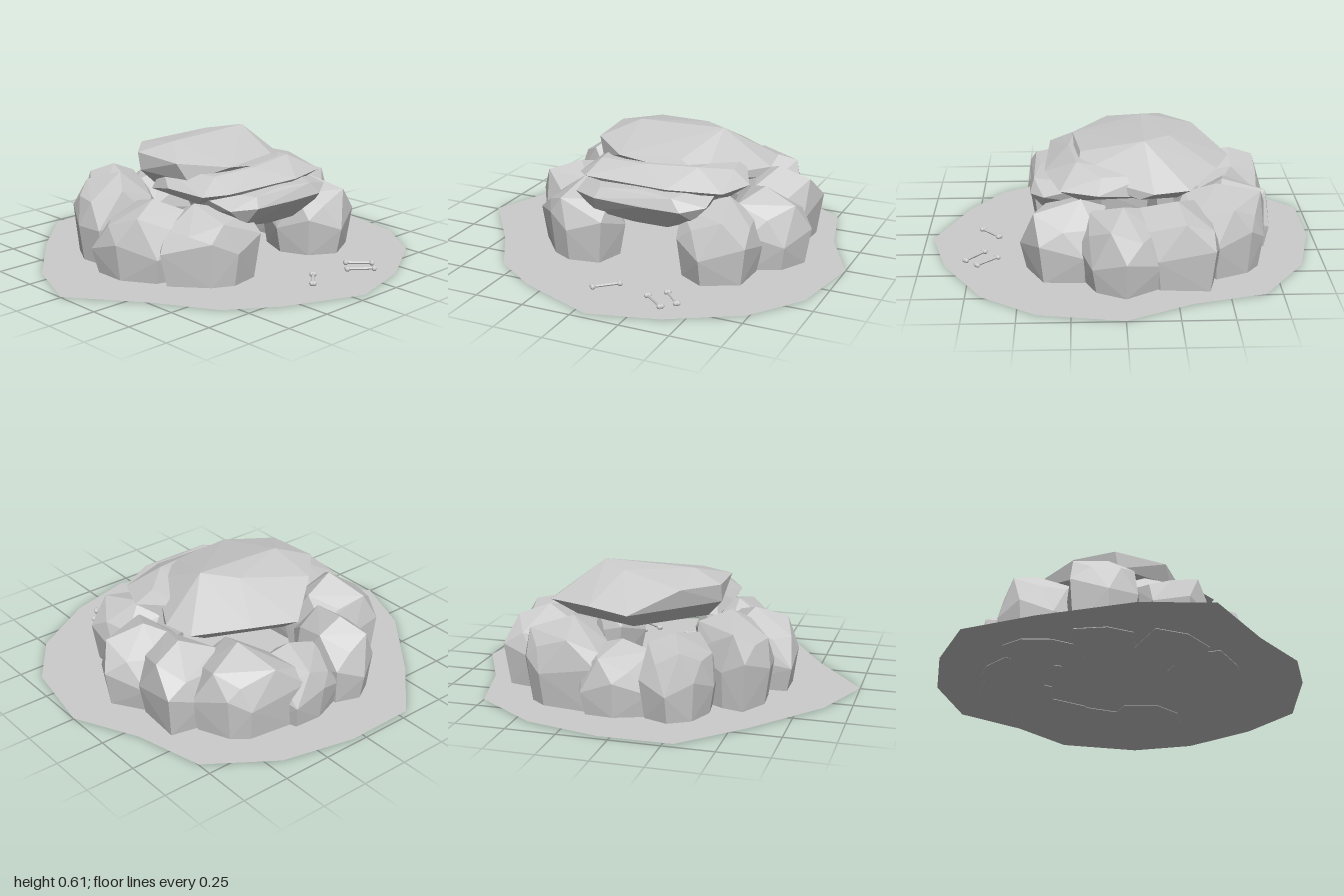
import * as THREE from 'three';
import { ConvexGeometry } from 'three/addons/geometries/ConvexGeometry.js';

const stone = new THREE.MeshStandardMaterial({ name: 'stone', color: 0xcccccc, flatShading: true });
const groundMat = new THREE.MeshStandardMaterial({ name: 'ground', color: 0xcccccc, side: THREE.DoubleSide });

const add = (parent, name, geometry, material = stone) => {
  const mesh = new THREE.Mesh(geometry, material);
  mesh.name = name;
  parent.add(mesh);
  return mesh;
};

const slabGeometry = (points) => new ConvexGeometry(points.map((q) => new THREE.Vector3(...q)));

// Faceted boulder: widest at its outline, tapering to the base and up to a peak
function boulderGeometry(outline, waist, [px, py, pz]) {
  const n = outline.length;
  const cx = outline.reduce((sum, q) => sum + q[0], 0) / n;
  const cz = outline.reduce((sum, q) => sum + q[1], 0) / n;
  const points = [[px, py, pz]];
  outline.forEach(([x, z], i) => {
    const [nx, nz] = outline[(i + 1) % n];
    const mx = (x + nx) / 2, mz = (z + nz) / 2;
    const wobble = i % 2 ? 0.03 : -0.03;
    points.push([cx + (x - cx) * 0.87, 0.002, cz + (z - cz) * 0.87]);
    points.push([x, waist + wobble, z]);
    points.push([cx + (mx - cx) * 0.88, py * 0.78 + wobble, cz + (mz - cz) * 0.88]);
  });
  return slabGeometry(points);
}

// Small bone lying between two points on the ground
function bone(x0, z0, x1, z1) {
  const group = new THREE.Group();
  group.name = 'bone';
  const length = Math.hypot(x1 - x0, z1 - z0);
  add(group, 'boneShaft', new THREE.CylinderGeometry(0.008, 0.008, length, 6).rotateZ(Math.PI / 2));
  for (const end of [-1, 1]) {
    for (const side of [-1, 1]) {
      const knob = add(group, 'boneKnob', new THREE.IcosahedronGeometry(0.013, 1));
      knob.position.set(end * length / 2, 0, side * 0.006);
    }
  }
  group.position.set((x0 + x1) / 2, 0.018, (z0 + z1) / 2);
  group.rotation.y = -Math.atan2(z1 - z0, x1 - x0);
  return group;
}

export function createModel() {
  const model = new THREE.Group();
  model.name = 'rockDen';

  // Flat, irregular patch of ground
  const outline = [[-0.3, -0.97], [0.06, -0.975], [0.43, -0.89], [0.75, -0.67], [0.84, -0.32], [1, 0],
    [0.93, 0.41], [0.74, 0.675], [0.4, 0.875], [0.06, 0.965], [-0.34, 0.8], [-0.57, 0.64], [-0.74, 0.35],
    [-1, 0], [-0.87, -0.33], [-0.57, -0.7]];
  const shape = new THREE.Shape(outline.map(([x, z]) => new THREE.Vector2(x, -z)));
  add(model, 'ground', new THREE.ShapeGeometry(shape).rotateX(-Math.PI / 2).translate(0, 0.005, 0), groundMat);

  // Boulders in a ring, open at the front: plan outline, waist height, peak
  const boulder = (name, plan, waist, peak) => add(model, name, boulderGeometry(plan, waist, peak));
  boulder('frontRightBoulder', [[-0.58, 0.23], [-0.42, 0.42], [-0.3, 0.48], [-0.12, 0.45], [-0.07, 0.28],
    [-0.2, 0.08], [-0.45, 0.08]], 0.2, [-0.33, 0.37, 0.2]);
  boulder('rightBoulder', [[-0.68, -0.17], [-0.68, 0.02], [-0.57, 0.2], [-0.4, 0.25], [-0.25, 0.1],
    [-0.27, -0.18], [-0.5, -0.16]], 0.16, [-0.45, 0.38, 0.03]);
  boulder('rearRightBoulder', [[-0.61, -0.36], [-0.52, -0.52], [-0.4, -0.49], [-0.25, -0.4], [-0.18, -0.2],
    [-0.36, -0.1], [-0.6, -0.21]], 0.22, [-0.4, 0.45, -0.28]);
  boulder('backRightBoulder', [[-0.38, -0.55], [-0.32, -0.7], [-0.2, -0.77], [-0.06, -0.72], [-0.03, -0.45],
    [-0.17, -0.28], [-0.36, -0.38]], 0.17, [-0.2, 0.4, -0.58]);
  boulder('backBoulder', [[-0.1, -0.7], [0.06, -0.76], [0.22, -0.75], [0.28, -0.6], [0.2, -0.37],
    [-0.1, -0.37]], 0.15, [0.08, 0.33, -0.52]);
  boulder('backLeftBoulder', [[0.11, -0.62], [0.15, -0.73], [0.45, -0.69], [0.54, -0.62], [0.62, -0.44],
    [0.42, -0.23], [0.17, -0.33]], 0.2, [0.35, 0.41, -0.46]);
  boulder('rearLeftBoulder', [[0.56, -0.47], [0.74, -0.43], [0.72, -0.16], [0.6, -0.03], [0.36, -0.07],
    [0.32, -0.3], [0.43, -0.42]], 0.19, [0.55, 0.4, -0.26]);
  boulder('leftBoulder', [[0.7, -0.19], [0.815, -0.01], [0.73, 0.15], [0.57, 0.22], [0.37, 0.15],
    [0.37, -0.1], [0.5, -0.18]], 0.16, [0.57, 0.38, 0]);
  boulder('frontLeftBoulder', [[0.63, 0.18], [0.62, 0.4], [0.42, 0.5], [0.27, 0.41], [0.2, 0.25],
    [0.28, 0.06], [0.55, 0.05]], 0.17, [0.46, 0.38, 0.2]);

  // Large domed roof slab
  add(model, 'roofSlab', slabGeometry([
    [0, 0.605, -0.11], [0.3, 0.615, -0.11], [-0.17, 0.6, -0.12], [0.16, 0.595, -0.24], [-0.17, 0.55, -0.38],
    [-0.33, 0.55, -0.22], [-0.32, 0.54, 0.06], [-0.12, 0.52, 0.24], [0.2, 0.53, 0.2],
    [0.05, 0.45, -0.55], [0.27, 0.46, -0.47], [0.52, 0.44, -0.32], [0.54, 0.43, -0.15], [0.5, 0.39, -0.08],
    [0.33, 0.46, 0.22], [-0.33, 0.46, -0.2], [-0.28, 0.45, 0.1], [0.05, 0.37, -0.44], [0.4, 0.36, -0.27],
    [0.3, 0.37, 0.1], [-0.25, 0.37, -0.15], [0, 0.38, 0.1]]));

  // Middle slab jutting out beneath the roof
  add(model, 'middleSlab', slabGeometry([
    [-0.22, 0.49, 0.23], [0.02, 0.5, 0.26], [0.3, 0.51, 0.22], [0.44, 0.48, 0.1], [0.53, 0.42, 0.12],
    [0.46, 0.42, 0.3], [0.2, 0.43, 0.38], [-0.25, 0.43, 0.36], [-0.33, 0.41, 0.26], [-0.34, 0.41, 0.02],
    [-0.3, 0.36, 0.2], [0.1, 0.36, 0.33], [0.45, 0.37, 0.2], [0.42, 0.37, -0.15], [-0.3, 0.37, -0.15],
    [-0.27, 0.48, -0.1], [0.4, 0.48, -0.15]]));

  // Lintel over the entrance
  add(model, 'lintelSlab', slabGeometry([
    [-0.28, 0.36, 0.4], [-0.13, 0.41, 0.43], [0.07, 0.42, 0.4], [0.25, 0.41, 0.43], [0.41, 0.37, 0.38],
    [-0.15, 0.36, 0.46], [0.1, 0.35, 0.455], [0.3, 0.35, 0.45], [-0.18, 0.27, 0.4], [0.02, 0.23, 0.36],
    [0.2, 0.23, 0.36], [0.34, 0.29, 0.38], [-0.25, 0.3, 0.1], [0.35, 0.3, 0.1], [-0.3, 0.42, 0.1],
    [0.4, 0.43, 0.1], [0.05, 0.27, 0.1]]));

  // Bones scattered before the entrance
  for (const ends of [[-0.03, 0.715, 0.07, 0.625], [0.32, 0.62, 0.41, 0.715], [0.25, 0.69, 0.355, 0.775]]) {
    model.add(bone(...ends));
  }
  return model;
}
